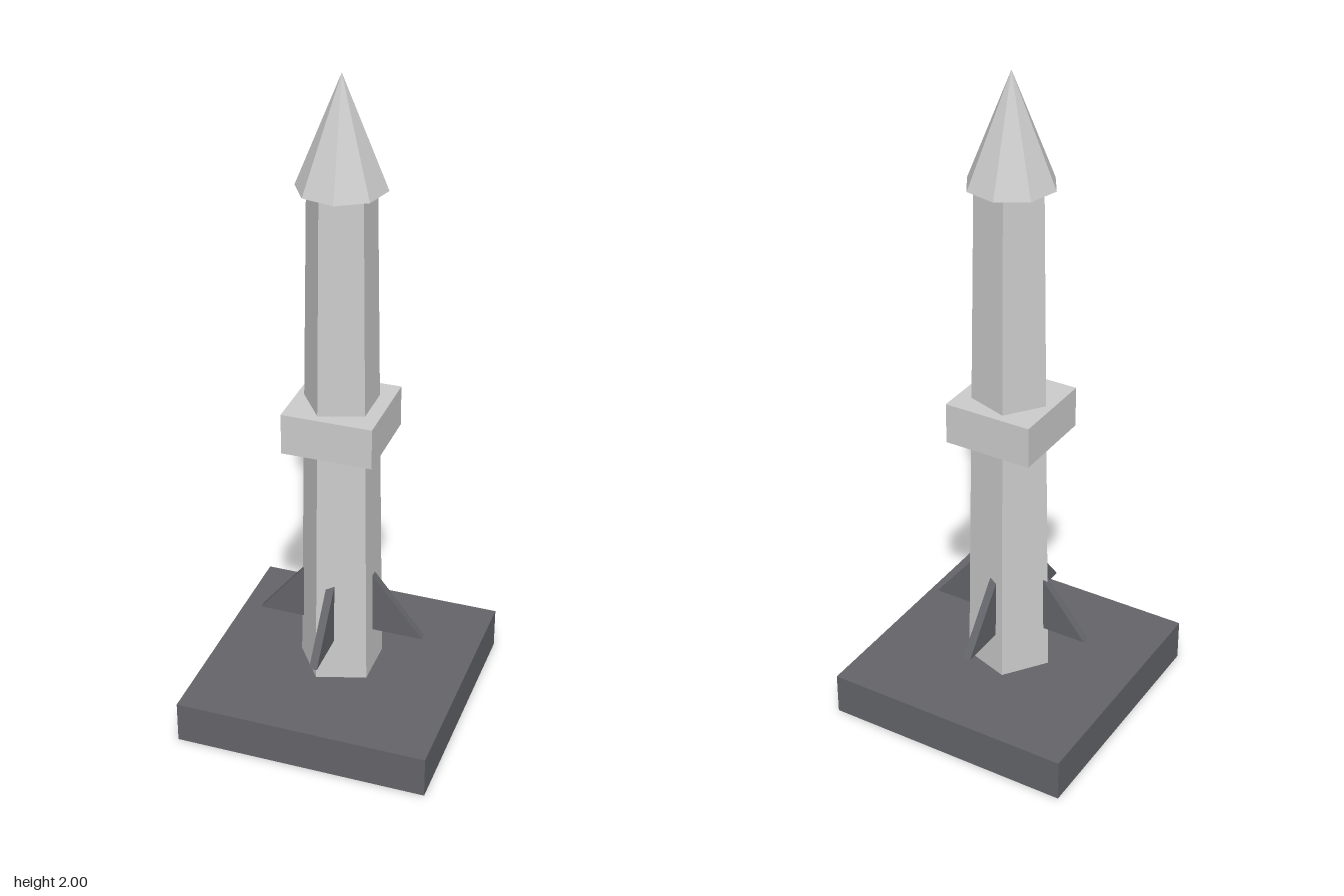
import * as THREE from 'three';

export function createModel() {
  const model = new THREE.Group();
  model.name = 'rocketOnStand';
  const grey = new THREE.MeshStandardMaterial({ color: 0xcccccc, flatShading: true });
  const dark = new THREE.MeshStandardMaterial({ color: 0x636469, flatShading: true });

  const add = (name, geometry, material, y = 0) => {
    const mesh = new THREE.Mesh(geometry, material);
    mesh.name = name;
    mesh.position.y = y;
    model.add(mesh);
    return mesh;
  };

  // Square stand
  add('base', new THREE.BoxGeometry(0.77, 0.13, 0.77), dark, 0.065);

  // Tapered five-sided body with one edge pointing to -x
  const bottom = 0.13, top = 1.68;
  add('body',
    new THREE.CylinderGeometry(0.102, 0.13, top - bottom, 5, 1, false, -Math.PI / 2),
    grey, (top + bottom) / 2);

  // Square collar around the middle
  add('collar', new THREE.BoxGeometry(0.27, 0.125, 0.27), grey, 0.968);

  // Eight-sided nose, turned a little
  add('noseCone',
    new THREE.ConeGeometry(0.129, 2 - top, 8, 1, false, 0.157),
    grey, (2 + top) / 2);

  // Four triangular fins, their inner edges sunk into the body
  const thickness = 0.024;
  const profile = new THREE.Shape([
    new THREE.Vector2(0.08, 0.265),
    new THREE.Vector2(0.258, 0.265),
    new THREE.Vector2(0.08, 0.485),
  ]);
  const finGeometry = new THREE.ExtrudeGeometry(profile, { depth: thickness, bevelEnabled: false });
  finGeometry.translate(0, 0, -thickness / 2);
  ['leftFin', 'backFin', 'rightFin', 'frontFin'].forEach((name, i) => {
    add(name, finGeometry, dark).rotation.y = i * Math.PI / 2;
  });

  return model;
}
